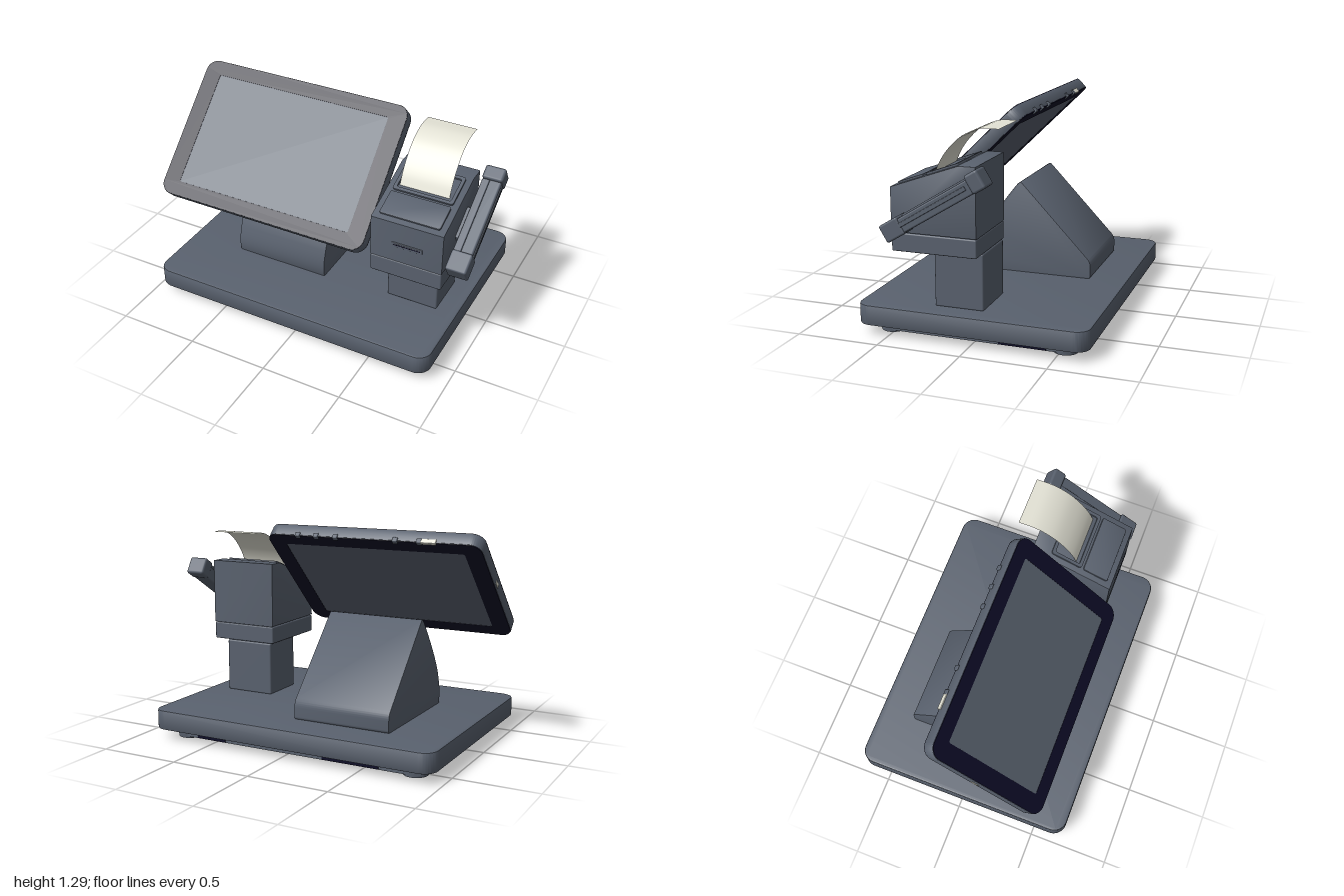
import * as THREE from 'three';
import { toCreasedNormals } from 'three/addons/utils/BufferGeometryUtils.js';
import { RoundedBoxGeometry } from 'three/addons/geometries/RoundedBoxGeometry.js';

const material = (name, color, side = THREE.FrontSide) => {
  const m = new THREE.MeshStandardMaterial({ color, side });
  m.name = name;
  return m;
};

// Rounded rectangle outline, usable as a shape or a hole
function roundRect(w, h, r, Type = THREE.Shape) {
  const x = w / 2, y = h / 2, s = new Type();
  s.moveTo(-x + r, -y);
  s.lineTo(x - r, -y).absarc(x - r, -y + r, r, -Math.PI / 2, 0);
  s.lineTo(x, y - r).absarc(x - r, y - r, r, 0, Math.PI / 2);
  s.lineTo(-x + r, y).absarc(-x + r, y - r, r, Math.PI / 2, Math.PI);
  s.lineTo(-x, -y + r).absarc(-x + r, -y + r, r, Math.PI, Math.PI * 1.5);
  return s;
}

// Extrusion centred on its depth, with an optional bevel inside the outline
function extrude(shape, depth, bevel = 0) {
  const g = new THREE.ExtrudeGeometry(shape, {
    depth: depth - 2 * bevel, curveSegments: 10, bevelEnabled: bevel > 0,
    bevelThickness: bevel, bevelSize: bevel, bevelOffset: -bevel, bevelSegments: 2,
  });
  g.translate(0, 0, -depth / 2 + bevel);
  return toCreasedNormals(g, 0.6);
}

const frame = (w, h, r, iw, ih, ir, d) => {
  const s = roundRect(w, h, r);
  s.holes.push(roundRect(iw, ih, ir, THREE.Path));
  return extrude(s, d);
};

export function createModel() {
  const slate = material('slate plastic', 0x59616e);
  const navy = material('dark navy', 0x0d0c26);
  const paper = material('paper', 0xe3e2d5, THREE.DoubleSide);
  const model = new THREE.Group();
  model.name = 'salesTerminal';

  const add = (name, geo, mat, x, y, z, parent = model) => {
    const m = new THREE.Mesh(geo, mat);
    m.name = name;
    m.position.set(x, y, z);
    parent.add(m);
    return m;
  };
  const box = (w, h, d, r = 0.008) => new RoundedBoxGeometry(w, h, d, 2, r);
  const flat = (w, d, h, r, bevel = 0) => extrude(roundRect(w, d, r), h, bevel).rotateX(-Math.PI / 2);
  // Side outline drawn as (-z, y), extruded across x
  const across = (shape, w, bevel) => extrude(shape, w, bevel).rotateY(Math.PI / 2);

  // Base slab, under tray and feet
  add('base', flat(1.85, 1.38, 0.122, 0.085, 0.01), slate, -0.035, 0.122, 0);
  add('underTray', flat(1.66, 1.19, 0.05, 0.06), slate, -0.035, 0.037, 0);
  for (const x of [-0.795, 0.725]) for (const z of [-0.525, 0.525]) {
    add('foot', new THREE.CylinderGeometry(0.077, 0.072, 0.05, 28), slate, x, 0.025, z);
  }
  // Dark strips in the tray edges
  add('sideStrip', box(0.006, 0.045, 0.28, 0.002), navy, 0.796, 0.036, -0.29);
  for (const [x, w] of [[0.52, 0.2], [-0.42, 0.36]]) {
    add('backStrip', box(w, 0.045, 0.006, 0.002), navy, x, 0.036, -0.596);
  }

  // Wedge stand with sloping back and bulging front
  const wedge = new THREE.Shape();
  wedge.moveTo(-0.275, 0.18);
  wedge.lineTo(0.445, 0.18);
  wedge.quadraticCurveTo(0.465, 0.18, 0.465, 0.2);
  wedge.lineTo(0.465, 0.255);
  wedge.quadraticCurveTo(0.465, 0.285, 0.445, 0.308);
  wedge.lineTo(0.02, 0.755);
  wedge.quadraticCurveTo(0.005, 0.765, -0.01, 0.748);
  wedge.bezierCurveTo(-0.13, 0.6, -0.22, 0.46, -0.25, 0.385);
  wedge.bezierCurveTo(-0.28, 0.3, -0.295, 0.25, -0.275, 0.18);
  add('tabletStand', across(wedge, 0.615, 0.004), slate, -0.2925, 0, 0);

  // Tilted tablet
  const tablet = new THREE.Group();
  tablet.name = 'tablet';
  tablet.position.set(-0.303, 0.952, 0.19);
  tablet.rotation.x = -0.797;
  model.add(tablet);
  add('tabletBody', extrude(roundRect(1.39, 0.895, 0.075), 0.078, 0.006), slate, 0, 0, 0, tablet);
  for (const side of [1, -1]) {
    const label = side > 0 ? 'frontBezel' : 'backBezel';
    add(label, frame(1.384, 0.889, 0.072, 1.165, 0.715, 0.012, 0.006), navy, 0, 0, side * 0.039, tablet);
  }
  add('screen', box(1.165, 0.715, 0.004, 0.001), slate, 0, 0, 0.039, tablet);
  add('backPanel', box(1.165, 0.715, 0.004, 0.001), slate, 0, 0, -0.039, tablet);
  // Buttons and ports on the tablet edges
  for (const x of [-0.33, -0.18, 0.21, 0.34, 0.465]) {
    add('edgeButton', box(0.032, 0.03, 0.032, 0.006), slate, x + 0.003, 0.44, -0.034, tablet);
  }
  add('topPort', box(0.095, 0.02, 0.03, 0.004), paper, -0.385, 0.443, -0.034, tablet);
  add('sidePort', box(0.008, 0.05, 0.025, 0.002), paper, -0.694, 0.05, -0.01, tablet);

  // Printer post, lower block and sloping body
  add('printerPost', box(0.325, 0.335, 0.295, 0.01), slate, 0.5975, 0.3475, 0.0975);
  add('postCollar', box(0.305, 0.02, 0.275, 0.004), slate, 0.5975, 0.512, 0.0975);
  add('printerLower', box(0.441, 0.108, 0.508, 0.008), slate, 0.6375, 0.57, 0.205);
  const body = new THREE.Shape();
  body.moveTo(-0.46, 0.627);
  body.lineTo(0.05, 0.627);
  body.lineTo(0.05, 1.03);
  body.lineTo(-0.05, 1.03);
  body.lineTo(-0.46, 0.885);
  body.closePath();
  add('printerBody', across(body, 0.445, 0.006), slate, 0.6375, 0, 0);
  add('frontSlot', box(0.19, 0.028, 0.008, 0.003), slate, 0.645, 0.742, 0.461);
  add('frontSlotGap', box(0.165, 0.008, 0.008, 0.002), navy, 0.645, 0.742, 0.4625);

  // Lid and paper mouth on the printer slope
  const slope = new THREE.Group();
  slope.name = 'printerTop';
  slope.position.set(0.6375, 0.9575, 0.255);
  slope.rotation.x = 0.34;
  model.add(slope);
  add('lid', flat(0.37, 0.165, 0.014, 0.012, 0.003), slate, 0, 0.004, 0.1, slope);
  const mouth = frame(0.37, 0.205, 0.015, 0.33, 0.165, 0.01, 0.016).rotateX(-Math.PI / 2);
  add('paperMouth', mouth, slate, 0, 0.004, -0.1, slope);

  // Curling receipt
  const curl = new THREE.CatmullRomCurve3([
    [0.22, 0.965], [0.185, 1.04], [0.13, 1.115], [0.05, 1.185], [-0.05, 1.225], [-0.155, 1.228],
  ].map(([z, y]) => new THREE.Vector3(0, y, z)));
  const sheet = new THREE.PlaneGeometry(0.305, 1, 1, 24);
  const pos = sheet.attributes.position;
  for (let i = 0; i < pos.count; i++) {
    const p = curl.getPoint(pos.getY(i) + 0.5);
    pos.setXYZ(i, pos.getX(i), p.y, p.z);
  }
  sheet.computeVertexNormals();
  add('receipt', sheet, paper, 0.6325, 0, 0);

  // Slanted card reader beside the printer
  const reader = new THREE.Group();
  reader.name = 'cardReader';
  reader.position.set(0.9375, 0.825, 0.152);
  reader.rotation.x = 0.55;
  model.add(reader);
  add('readerBar', box(0.11, 0.085, 0.6, 0.01), slate, 0, -0.006, 0, reader);
  add('readerRail', box(0.045, 0.02, 0.5, 0.006), slate, -0.035, 0.036, 0, reader);
  add('readerSideRib', box(0.012, 0.025, 0.46, 0.004), slate, 0.055, 0.0, 0, reader);
  add('readerHead', box(0.125, 0.112, 0.085, 0.015), slate, 0, 0.003, -0.294, reader);
  add('readerFoot', box(0.125, 0.105, 0.125, 0.012), slate, 0, -0.002, 0.278, reader);
  add('readerBracket', box(0.06, 0.06, 0.2, 0.006), slate, -0.065, 0, 0.04, reader);

  return model;
}
